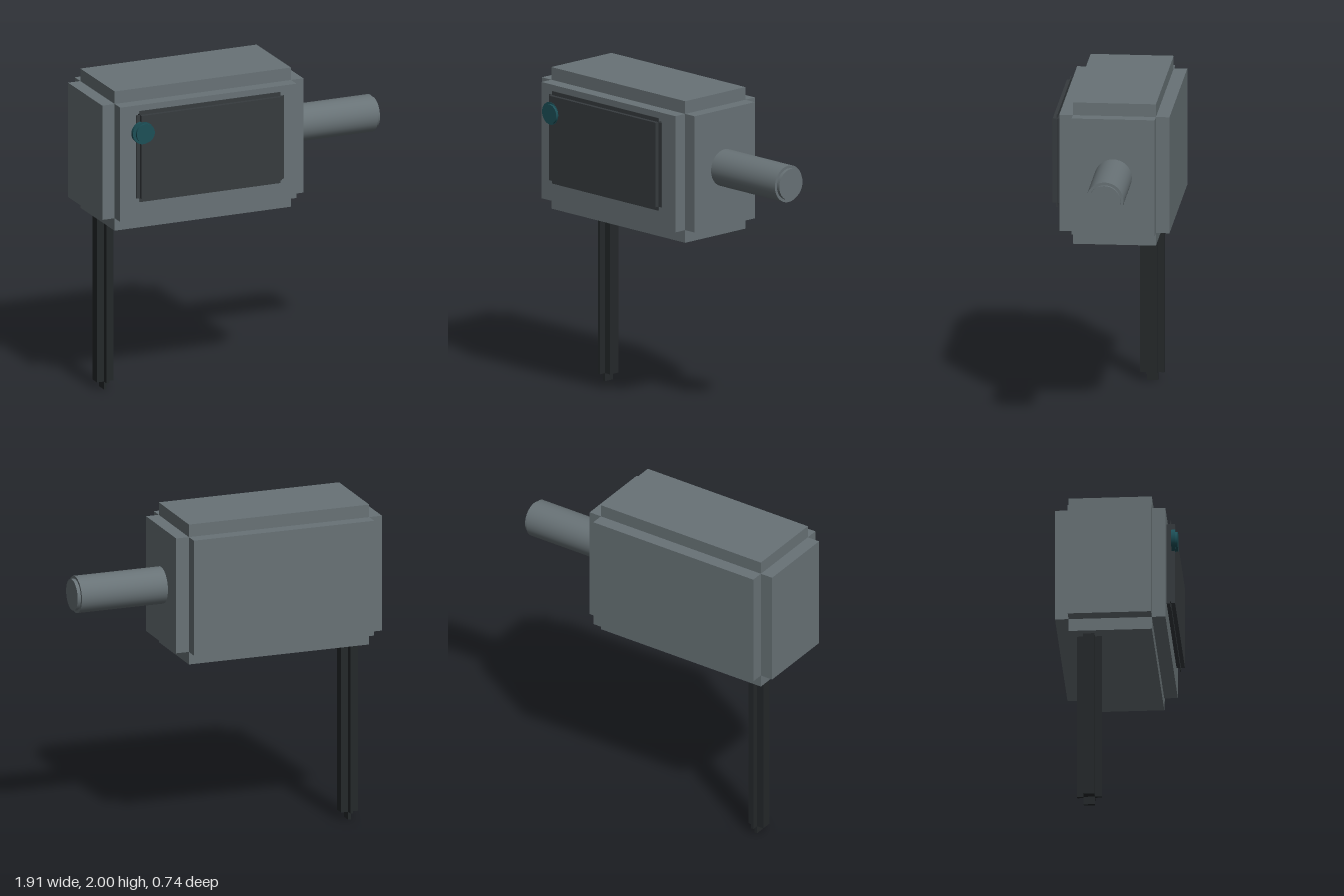
import * as THREE from 'three';

const paint = (color) => new THREE.MeshStandardMaterial({ color });

// Box given by its [min, max] range on each axis
function slab(name, [x0, x1], [y0, y1], [z0, z1], material) {
  const mesh = new THREE.Mesh(new THREE.BoxGeometry(x1 - x0, y1 - y0, z1 - z0), material);
  mesh.position.set((x0 + x1) / 2, (y0 + y1) / 2, (z0 + z1) / 2);
  mesh.name = name;
  return mesh;
}

// Block with notched edges: three crossing boxes, each full length on one axis only
function notchedBlock(name, outer, inner, material) {
  const group = new THREE.Group();
  group.name = name;
  ['Width', 'Height', 'Depth'].forEach((label, axis) => {
    const ranges = inner.map((range, i) => (i === axis ? outer[i] : range));
    group.add(slab(name + label, ...ranges, material));
  });
  return group;
}

// Cylinder from one end to the other along x or z
function rod(name, axis, radius, from, to, center, material) {
  const geometry = new THREE.CylinderGeometry(radius, radius, to - from, 32);
  if (axis === 'x') geometry.rotateZ(-Math.PI / 2);
  else geometry.rotateX(Math.PI / 2);
  const mesh = new THREE.Mesh(geometry, material);
  mesh.position.copy(center);
  mesh.position[axis] = (from + to) / 2;
  mesh.name = name;
  return mesh;
}

export function createModel() {
  const model = new THREE.Group();
  model.name = 'boxOnPost';
  const shell = paint(0x687276);
  const dark = paint(0x363b3e);
  const black = paint(0x24282a);
  const teal = paint(0x1c4f57);

  // Main housing
  model.add(notchedBlock('housing',
    [[-0.957, 0.375], [1.118, 2], [-0.368, 0.3]],
    [[-0.875, 0.293], [1.197, 1.921], [-0.286, 0.218]], shell));

  // Front panel
  model.add(notchedBlock('frontPanel',
    [[-0.78, 0.198], [1.315, 1.891], [0.298, 0.351]],
    [[-0.756, 0.173], [1.34, 1.867], [0.322, 0.327]], dark));

  // Round button on the panel corner
  const buttonCenter = new THREE.Vector3(-0.745, 1.758, 0);
  model.add(rod('buttonBase', 'z', 0.07, 0.33, 0.353, buttonCenter, teal));
  buttonCenter.x = -0.736;
  model.add(rod('buttonCap', 'z', 0.06, 0.345, 0.368, buttonCenter, teal));

  // Side shaft with a stepped tip
  const shaftCenter = new THREE.Vector3(0, 1.558, -0.034);
  model.add(rod('shaft', 'x', 0.114, 0.3, 0.932, shaftCenter, shell));
  model.add(rod('shaftTip', 'x', 0.097, 0.9, 0.953, shaftCenter, shell));

  // Post with a cross-shaped section and a narrow foot
  model.add(notchedBlock('post',
    [[-0.834, -0.726], [0, 1.15], [-0.24, -0.09]],
    [[-0.789, -0.771], [0.05, 1.125], [-0.2, -0.132]], black));

  return model;
}
